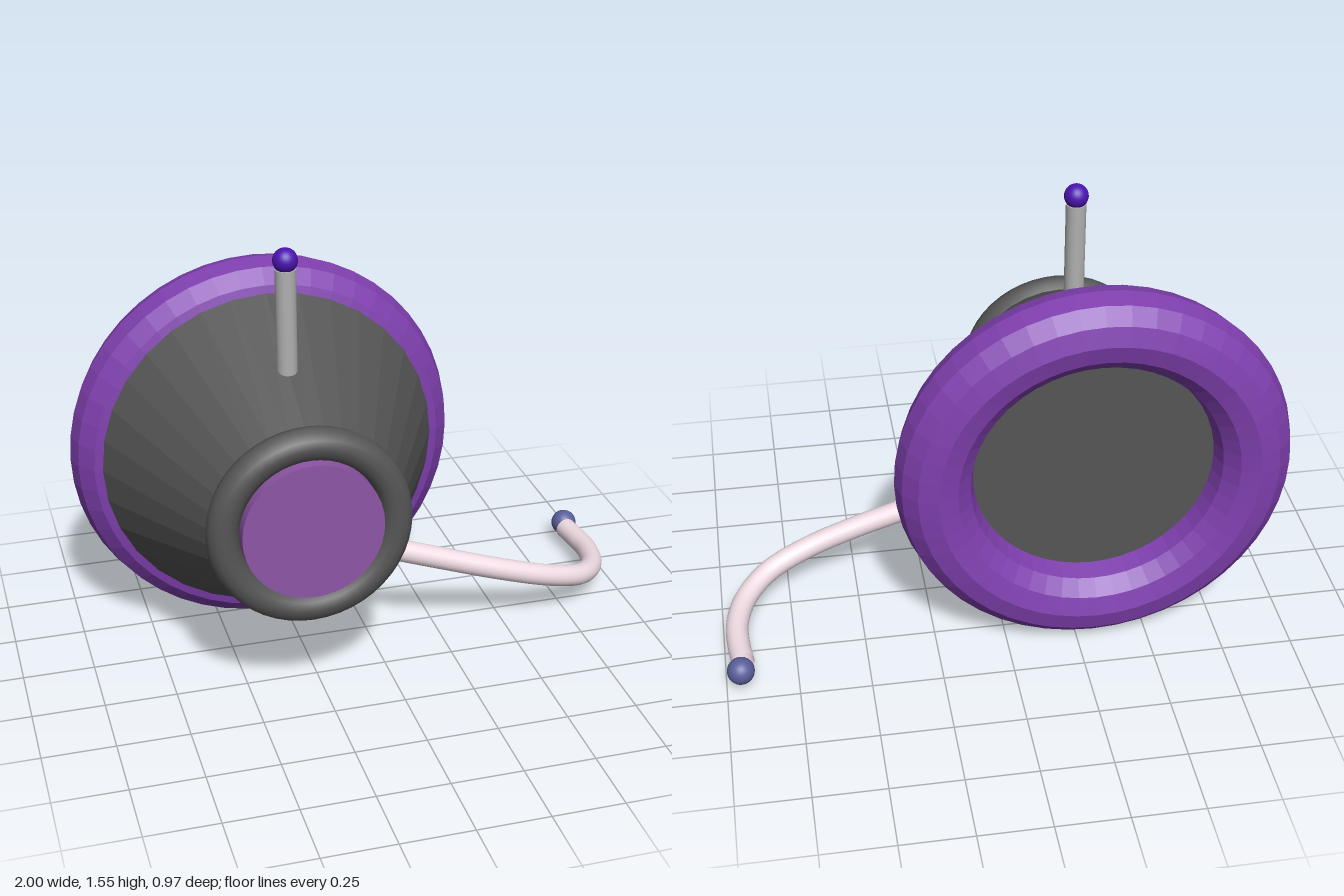
import * as THREE from 'three';

const mat = (color, flatShading = false, side = THREE.FrontSide) =>
  new THREE.MeshStandardMaterial({ color, flatShading, side });

export function createModel() {
  const model = new THREE.Group();
  const CX = -0.31, CY = 0.70;

  const add = (name, geometry, material, x, y, z) => {
    const mesh = new THREE.Mesh(geometry, material);
    mesh.name = name;
    mesh.position.set(x, y, z);
    model.add(mesh);
    return mesh;
  };

  // Tapered body, narrow end to the front
  const zBack = -0.275, zFront = 0.42;
  const body = new THREE.CylinderGeometry(0.302, 0.657, zFront - zBack, 32).rotateX(Math.PI / 2);
  add('body', body, mat(0x555555, true), CX, CY, (zBack + zFront) / 2);

  // Faceted padded ring around the wide end
  add('backRing', new THREE.TorusGeometry(0.555, 0.135, 12, 48), mat(0x7f3fae, true), CX, CY, -0.277)
    .rotation.x = -0.005;

  // Slightly tilted rim and lens at the narrow end
  add('frontRim', new THREE.TorusGeometry(0.294, 0.056, 12, 48), mat(0x555555), CX, CY, 0.424)
    .rotation.x = -0.016;
  const lens = new THREE.CylinderGeometry(0.24, 0.24, 0.08, 40).rotateX(Math.PI / 2);
  add('lens', lens, mat(0x8d55a5), CX, CY, 0.441).rotation.x = -0.016;

  // Upright antenna with a ball tip
  add('antenna', new THREE.CylinderGeometry(0.035, 0.035, 0.42, 24), mat(0xb0b0b0), CX, 1.28, 0.14);
  add('antennaTip', new THREE.SphereGeometry(0.042, 24, 16), mat(0x4b14b0), CX, 1.52, 0.14);

  // Bent arm sweeping out and back, with a ball at its end
  const armPath = new THREE.CatmullRomCurve3([
    [0.05, 0.388, 0.10], [0.25, 0.32, 0.109], [0.48, 0.243, 0.116], [0.68, 0.176, 0.098],
    [0.82, 0.13, 0.045], [0.91, 0.1, -0.06], [0.948, 0.087, -0.19], [0.947, 0.083, -0.3], [0.937, 0.083, -0.387],
  ].map(p => new THREE.Vector3(...p)));
  add('arm', new THREE.TubeGeometry(armPath, 48, 0.04, 20, false),
    mat(0xf0dce4, false, THREE.DoubleSide), 0, 0, 0);
  add('armTip', new THREE.SphereGeometry(0.048, 24, 16), mat(0x5a5f9a), 0.947, 0.085, -0.435);

  return model;
}
